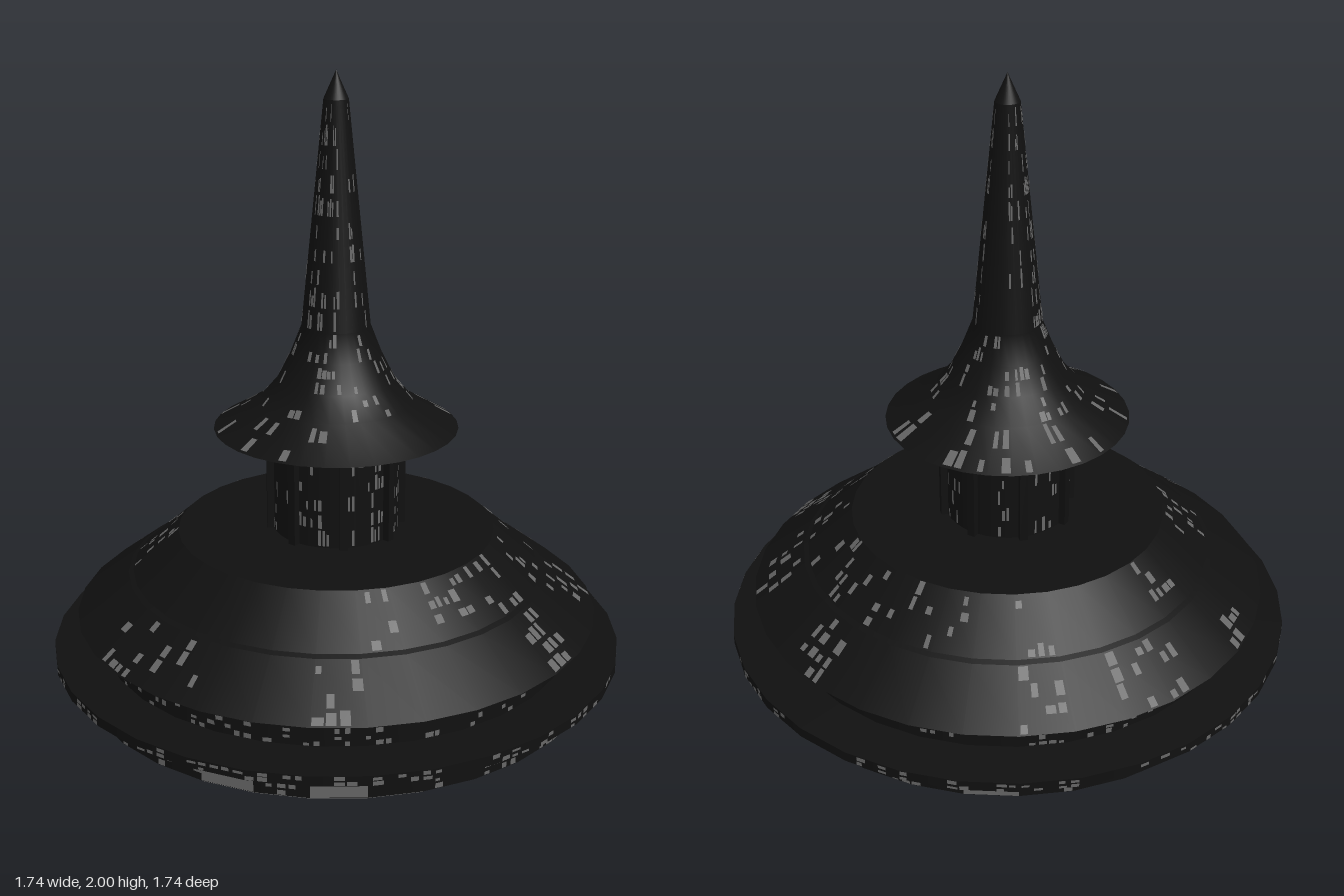
import * as THREE from 'three';

const SIDES = 32;
const dark = new THREE.MeshStandardMaterial({ color: 0x101010, side: THREE.DoubleSide });
const grey = new THREE.MeshStandardMaterial({ color: 0x666666, side: THREE.DoubleSide });
const hull = new THREE.MeshStandardMaterial({ color: 0x484848, side: THREE.DoubleSide });

// Small seeded generator for the window pattern
let seed = 7;
const rnd = () => {
  seed = (seed * 16807) % 2147483647;
  return seed / 2147483647;
};

// Surface of revolution through [radius, height] points, listed from below upwards
function band(name, pts, material = dark) {
  const geo = new THREE.LatheGeometry(pts.map(p => new THREE.Vector2(p[0], p[1])), SIDES);
  const mesh = new THREE.Mesh(geo, material);
  mesh.name = name;
  return mesh;
}

// Collects flat panels lying on the facets of a band
class Panels {
  constructor() { this.pos = []; }

  add(a, b, facet, s0, s1, t0, t1, lift = 0.0015) {
    const step = Math.PI * 2 / SIDES;
    const n = new THREE.Vector2(b[1] - a[1], a[0] - b[0]).normalize().multiplyScalar(lift);
    const at = (s, t) => {
      const r = a[0] + (b[0] - a[0]) * t + n.x;
      const y = a[1] + (b[1] - a[1]) * t + n.y;
      const p0 = facet * step, p1 = p0 + step;
      return [
        r * (Math.sin(p0) * (1 - s) + Math.sin(p1) * s), y,
        r * (Math.cos(p0) * (1 - s) + Math.cos(p1) * s)
      ];
    };
    const c = [at(s0, t0), at(s1, t0), at(s1, t1), at(s0, t1)];
    for (const k of [0, 1, 2, 0, 2, 3]) this.pos.push(...c[k]);
  }

  mesh(name, material) {
    const geo = new THREE.BufferGeometry();
    geo.setAttribute('position', new THREE.Float32BufferAttribute(this.pos, 3));
    geo.computeVertexNormals();
    const m = new THREE.Mesh(geo, material);
    m.name = name;
    return m;
  }
}

// Clusters of windows: share = part of the facets lit, fill = part of the cells lit
function windows(panels, a, b, cols, rows, share, fill, lift) {
  for (let f = 0; f < SIDES; f++) {
    if (rnd() > share) continue;
    for (let i = 0; i < cols; i++) {
      for (let j = 0; j < rows; j++) {
        if (rnd() > fill) continue;
        const h = 0.45 + rnd() * 0.45, w = 0.45 + rnd() * 0.45;
        panels.add(a, b, f, (i + 0.1) / cols, (i + 0.1 + w) / cols,
          (j + 0.1) / rows, (j + 0.1 + h) / rows, lift);
      }
    }
  }
}

export function createModel() {
  const model = new THREE.Group();
  model.name = 'tower';
  const lit = new Panels();

  // Underside dish with dark window blocks
  const dish = [[0, 0], [0.36, 0.01], [0.56, 0.09]];
  model.add(band('bottomDish', dish, hull));
  const blocks = new Panels();
  for (const f of [0, 1, 2, 9, 10, 16, 17, 18, 25, 26]) {
    blocks.add(dish[1], dish[2], f, 0, 1, 0.05, 0.95, 0.001);
    for (let i = 0; i < 3; i++) for (let j = 0; j < 4; j++) {
      if (rnd() < 0.3) lit.add(dish[1], dish[2], f, i / 3 + 0.05, i / 3 + 0.25, j / 4 + 0.03, j / 4 + 0.2, 0.002);
    }
  }
  model.add(blocks.mesh('dishBlocks', dark));

  // Disc body: [name, lower point, upper point, columns, rows, share, fill]
  const bands = [
    ['dishRim', [0.56, 0.09], [0.57, 0.085], 0, 0, 0, 0],
    ['lowerHull', [0.57, 0.085], [0.79, 0.17], 5, 5, 0.6, 0.3],
    ['lowerWall', [0.79, 0.17], [0.79, 0.255], 5, 4, 0.8, 0.3],
    ['ringUnderside', [0.79, 0.255], [0.868, 0.255], 0, 0, 0, 0],
    ['ringEdge', [0.868, 0.255], [0.868, 0.285], 5, 2, 0.8, 0.35],
    ['ringTop', [0.868, 0.285], [0.718, 0.285], 0, 0, 0, 0],
    ['upperWall', [0.718, 0.285], [0.718, 0.36], 5, 4, 0.8, 0.3],
    ['eaveUnderside', [0.718, 0.36], [0.793, 0.385], 0, 0, 0, 0],
    ['lowerRoof', [0.793, 0.385], [0.635, 0.505], 4, 4, 0.4, 0.4],
    ['roofStep', [0.635, 0.505], [0.62, 0.512], 0, 0, 0, 0],
    ['upperRoof', [0.62, 0.512], [0.48, 0.635], 4, 4, 0.35, 0.35],
    ['roofDeck', [0.48, 0.635], [0.19, 0.635], 0, 0, 0, 0],
    ['column', [0.19, 0.635], [0.19, 0.91], 3, 5, 0.7, 0.35],
    ['canopyUnderside', [0.19, 0.91], [0.365, 0.955], 3, 4, 0.4, 0.25]
  ];
  for (const [name, a, b, cols, rows, share, fill] of bands) {
    model.add(band(name, [a, b]));
    windows(lit, a, b, cols, rows, share, fill);
  }

  // Plain grey plates on the lower hull and wall
  for (let f = 1; f < SIDES; f += 5) {
    const [, a, b] = bands[1], [, c, d] = bands[2];
    for (const k of [0, 1]) lit.add(a, b, (f + k) % SIDES, 0, 1, 0.03, 0.97, 0.0025);
    lit.add(c, d, f, 0, 1, 0.03, 0.97, 0.0025);
  }

  // Posts around the column
  for (let i = 0; i < 8; i++) {
    const angle = (i + 0.5) * Math.PI / 4;
    const post = new THREE.Mesh(new THREE.BoxGeometry(0.025, 0.28, 0.03), dark);
    post.name = 'columnPost';
    post.position.set(Math.sin(angle) * 0.195, 0.775, Math.cos(angle) * 0.195);
    post.rotation.y = angle;
    model.add(post);
  }

  // Flared canopy rising into the spire
  const spire = [[0.365, 0.955], [0.23, 1.035], [0.175, 1.1], [0.135, 1.18], [0.102, 1.265], [0.036, 1.92]];
  model.add(band('spire', spire));
  for (let i = 0; i < spire.length - 1; i++) {
    windows(lit, spire[i], spire[i + 1], 2, i === 4 ? 10 : 2, 0.55, 0.35);
  }
  model.add(band('spireTip', [[0.036, 1.92], [0, 2]]));

  model.add(lit.mesh('windows', grey));
  return model;
}
